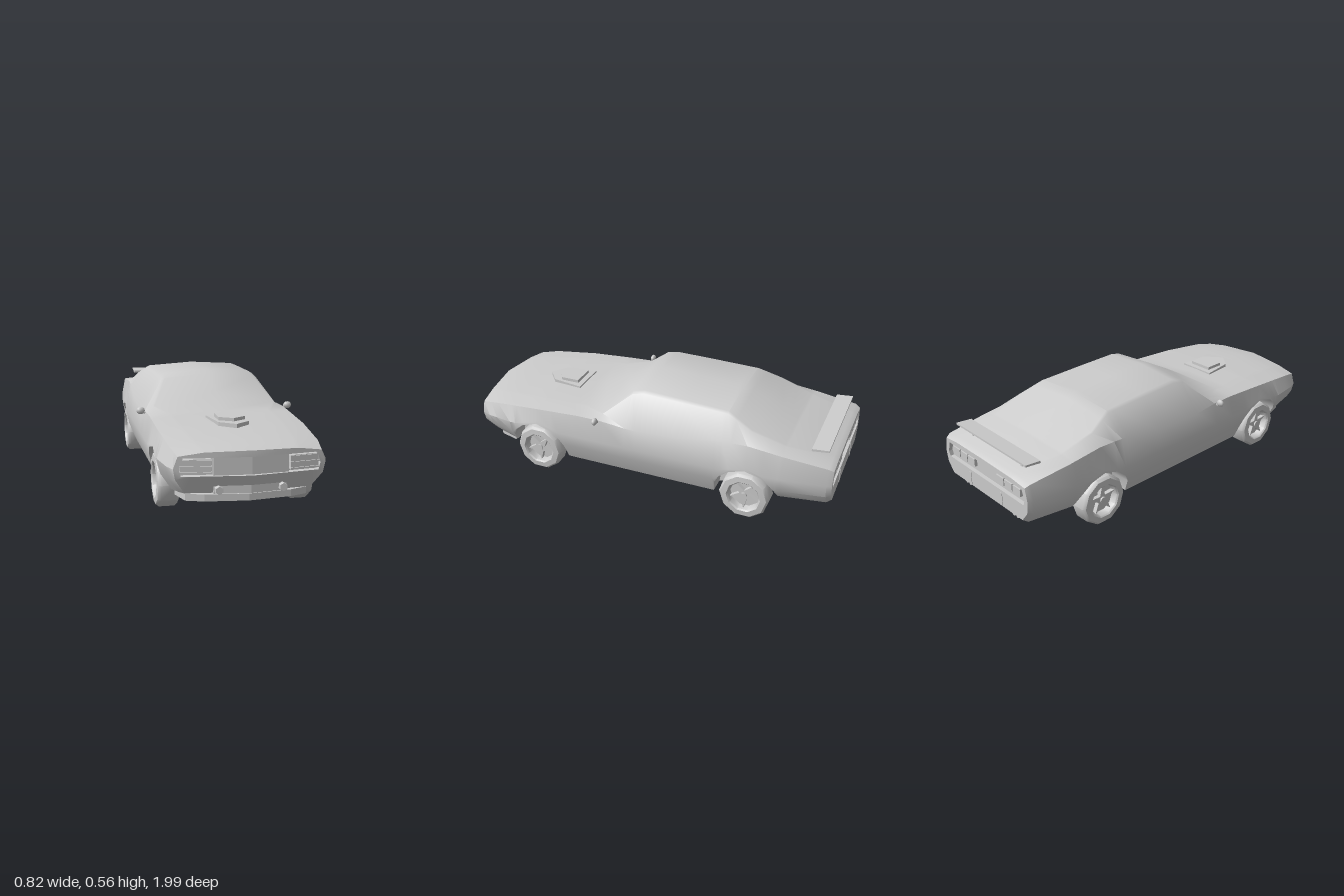
import * as THREE from 'three';
import { toCreasedNormals } from 'three/addons/utils/BufferGeometryUtils.js';

const mat = new THREE.MeshStandardMaterial({ color: 0xcccccc, side: THREE.DoubleSide });
const { lerp, clamp, smoothstep } = THREE.MathUtils;

// z, centre height, roof/hood edge x y, belt x y
const TOP = [
  [-0.97, .388, .22, .386, .335, .375],
  [-0.75, .425, .27, .418, .35, .40],
  [-0.57, .50, .285, .475, .352, .42],
  [-0.44, .545, .245, .53, .36, .42],
  [-0.2, .556, .24, .54, .37, .385],
  [0.02, .565, .235, .546, .37, .375],
  [0.08, .552, .24, .532, .37, .378],
  [0.22, .475, .315, .41, .365, .388],
  [0.35, .40, .25, .395, .36, .385],
  [0.6, .39, .24, .382, .357, .37],
  [0.85, .37, .22, .36, .342, .345],
  [0.95, .347, .2, .342, .325, .325],
];
// z, widest x y, lower side x y, sill x y
const SIDE = [
  [-0.97, .352, .29, .342, .22, .30, .16],
  [-0.75, .378, .285, .367, .21, .33, .155],
  [-0.4, .388, .27, .378, .20, .34, .105],
  [0.42, .388, .27, .378, .20, .34, .105],
  [0.76, .385, .27, .37, .20, .32, .125],
  [0.9, .365, .27, .35, .21, .30, .14],
  [0.95, .345, .27, .335, .22, .29, .15],
];
const AXLES = [-0.57, 0.595], ARCH = 0.165, WHEEL_Y = 0.131;

function sample(table, z) {
  let i = 0;
  while (i < table.length - 2 && z > table[i + 1][0]) i++;
  const a = table[i], b = table[i + 1], t = clamp((z - a[0]) / (b[0] - a[0]), 0, 1);
  return a.map((v, k) => lerp(v, b[k], t));
}

// Half cross-section from top centre to bottom centre, opened at the wheel arches
function section(z) {
  const [, yc, xr, yr, xb, yb] = sample(TOP, z);
  const [, xs, ys, xm, ym, xl, yl] = sample(SIDE, z);
  const side = [[xb, yb], [xs, ys], [xm, ym], [xl, yl]];
  const sideX = y => {
    let i = 0;
    while (i < 2 && y < side[i + 1][1]) i++;
    const [a, b] = [side[i], side[i + 1]];
    return lerp(a[0], b[0], (a[1] - y) / (a[1] - b[1]));
  };
  let h = yl;
  for (const c of AXLES) {
    const d = Math.abs(z - c);
    if (d <= ARCH) h = Math.max(yl, 0.125 + Math.sqrt(ARCH * ARCH - d * d));
  }
  const y3 = Math.max(ys, h + .014), y4 = Math.max(ym, h + .007);
  return [[0, yc], [xr, yr], [lerp(xr, xb, .15), lerp(yr, yb, .07)], [xb, yb],
    [sideX(y3), y3], [sideX(y4), y4], [sideX(h), h], [.25, h], [.25, yl], [0, yl]];
}

function loft(rings, cx, cy) {
  const pos = [];
  const tri = (a, b, c) => {
    const n = b.clone().sub(a).cross(c.clone().sub(a));
    if (n.length() > 1e-8) for (const p of [a, b, c]) pos.push(p.x, p.y, p.z);
  };
  const n = rings[0].length;
  for (let i = 0; i < rings.length - 1; i++) for (let j = 0; j < n; j++) {
    const k = (j + 1) % n, [r, s] = [rings[i], rings[i + 1]];
    tri(r[j], s[j], r[k]);
    tri(r[k], s[j], s[k]);
  }
  const first = rings[0], last = rings[rings.length - 1];
  const c0 = new THREE.Vector3(cx, cy, first[0].z), c1 = new THREE.Vector3(cx, cy, last[0].z);
  for (let j = 0; j < n; j++) {
    const k = (j + 1) % n;
    tri(c0, first[j], first[k]);
    tri(c1, last[k], last[j]);
  }
  const g = new THREE.BufferGeometry();
  g.setAttribute('position', new THREE.Float32BufferAttribute(pos, 3));
  return toCreasedNormals(g, 0.6);
}

function bodyGeometry() {
  const zs = [...TOP, ...SIDE].map(r => r[0]);
  for (const c of AXLES) for (const f of [0, .5, .8, .95, 1, 1.006]) zs.push(c - f * ARCH, c + f * ARCH);
  const stations = [...new Set(zs)].sort((a, b) => a - b).map(z => ({ z, half: section(z) }));
  // Recessed panels closing the tail and the nose
  const inset = (half, s, lo, hi) => half.map(([x, y]) => [x * s, clamp(y, lo, hi)]);
  const tail = stations[0].half, nose = stations[stations.length - 1].half;
  const rim = tail.map(([x, y]) => [x * .97, .28 + (y - .28) * .86]);
  const tailPanel = inset(tail, .9, .265, .345), mouth = inset(nose, .93, .235, .318);
  stations.unshift({ z: -.975, half: tailPanel }, { z: -.995, half: tailPanel }, { z: -.995, half: rim });
  stations.push({ z: .95, half: mouth }, { z: .95, half: mouth, back: .03 });
  const rings = stations.map(({ z, half, back = 0 }) => {
    const k = smoothstep(z, .75, .95);
    const pts = half.map(([x, y]) => new THREE.Vector3(x, y,
      z - back + k * (.045 * (1 - x / .35) - Math.max(0, .23 - y) * .5)));
    const mirror = pts.slice(1, -1).reverse().map(p => new THREE.Vector3(-p.x, p.y, p.z));
    return [...pts, ...mirror];
  });
  return loft(rings, 0, .28);
}

function add(parent, name, geo, x = 0, y = 0, z = 0) {
  const m = new THREE.Mesh(geo, mat);
  m.name = name;
  m.position.set(x, y, z);
  parent.add(m);
  return m;
}
const box = (w, h, d) => new THREE.BoxGeometry(w, h, d);
const tube = (r, l, n) => toCreasedNormals(new THREE.CylinderGeometry(r, r, l, n), .9);
// Plan outline (x, z) extruded upward
function plan(points, height) {
  const s = new THREE.Shape(points.map(([x, z]) => new THREE.Vector2(x, -z)));
  return new THREE.ExtrudeGeometry(s, { depth: height, bevelEnabled: false }).rotateX(-Math.PI / 2);
}

function makeWheel() {
  const g = new THREE.Group();
  const profile = [[0, -.053], [.118, -.053], [.131, -.038], [.131, .036], [.12, .05], [.09, .053], [.083, .046], [.078, .012], [0, .012]];
  const tyre = new THREE.LatheGeometry(profile.map(p => new THREE.Vector2(...p)), 10);
  add(g, 'tyre', toCreasedNormals(tyre, .7));
  const star = new THREE.Shape();
  for (let i = 0; i < 10; i++) {
    const r = i % 2 ? .027 : .082, a = i * Math.PI / 5;
    star[i ? 'lineTo' : 'moveTo'](r * Math.cos(a), r * Math.sin(a));
  }
  add(g, 'starSpokes', new THREE.ExtrudeGeometry(star, { depth: .022, bevelEnabled: false }).rotateX(-Math.PI / 2), 0, .012);
  add(g, 'hub', tube(.017, .04, 8), 0, .022);
  return g;
}

export function createModel() {
  const car = new THREE.Group();
  car.name = 'car';
  add(car, 'body', bodyGeometry());

  // Nose
  add(car, 'grillePlate', plan([[-.17, .93], [.17, .93], [.17, .966], [0, .98], [-.17, .966]], .082), 0, .236);
  add(car, 'chinSpoiler', plan([[-.31, .78], [.31, .78], [.28, .885], [.2, .915], [0, .94], [-.2, .915], [-.28, .885]], .032), 0, .106);
  add(car, 'lowerGrille', plan([[-.165, .9], [.165, .9], [.165, .95], [0, .972], [-.165, .95]], .04), 0, .15);

  // Hood scoop with a pointed front
  add(car, 'scoopBase', plan([[-.1, .47], [.1, .47], [.075, .64], [0, .7], [-.075, .64]], .02), 0, .382).rotation.x = 0;
  add(car, 'scoopTop', plan([[-.065, .5], [.065, .5], [.065, .6], [0, .64], [-.065, .6]], .016), 0, .402);

  // Rear wing
  const wing = new THREE.Shape([[-.955, .436], [-.955, .446], [-.87, .438], [-.87, .426]].map(p => new THREE.Vector2(-p[0], p[1])));
  add(car, 'rearWing', new THREE.ExtrudeGeometry(wing, { depth: .57, bevelEnabled: false }).rotateY(Math.PI / 2), -.285);

  for (const s of [1, -1]) {
    // Lamps at both ends
    const lamp = new THREE.Group();
    lamp.name = 'headlight';
    add(lamp, 'lampPlate', box(.135, .066, .03));
    for (const y of [-.027, 0, .027]) add(lamp, 'lampBar', box(.14, .007, .042), 0, y, 0);
    lamp.position.set(s * .245, .276, .94);
    lamp.rotation.y = s * .128;
    car.add(lamp);
    add(car, 'fogLight', tube(.019, .035, 6).rotateX(Math.PI / 2), s * .145, .17, .962);
    for (const x of [.12, .185, .25]) add(car, 'tailLight', box(.058, .04, .02), s * x, .312, -.98);

    add(car, 'wingPost', box(.012, .05, .03), s * .2, .41, -.905);

    // Door mirror on a stalk
    add(car, 'mirrorStalk', box(.045, .01, .012), s * .372, .382, .236).rotation.z = s * .3;
    const glass = add(car, 'doorMirror', new THREE.SphereGeometry(.02, 8, 6), s * .389, .393, .238);
    glass.scale.set(1.1, .95, .7);

    // Twin exhaust tips and bumper guard
    for (const x of [.185, .215]) add(car, 'exhaustTip', tube(.013, .12, 8).rotateX(Math.PI / 2), s * x, .152, -.91);
    add(car, 'bumperGuard', box(.014, .07, .025), s * .13, .215, -.985);

    for (const z of AXLES) {
      const wheel = makeWheel();
      wheel.name = z > 0 ? 'frontWheel' : 'rearWheel';
      wheel.position.set(s * .325, WHEEL_Y, z);
      wheel.rotation.z = -s * Math.PI / 2;
      car.add(wheel);
    }
  }
  return car;
}
